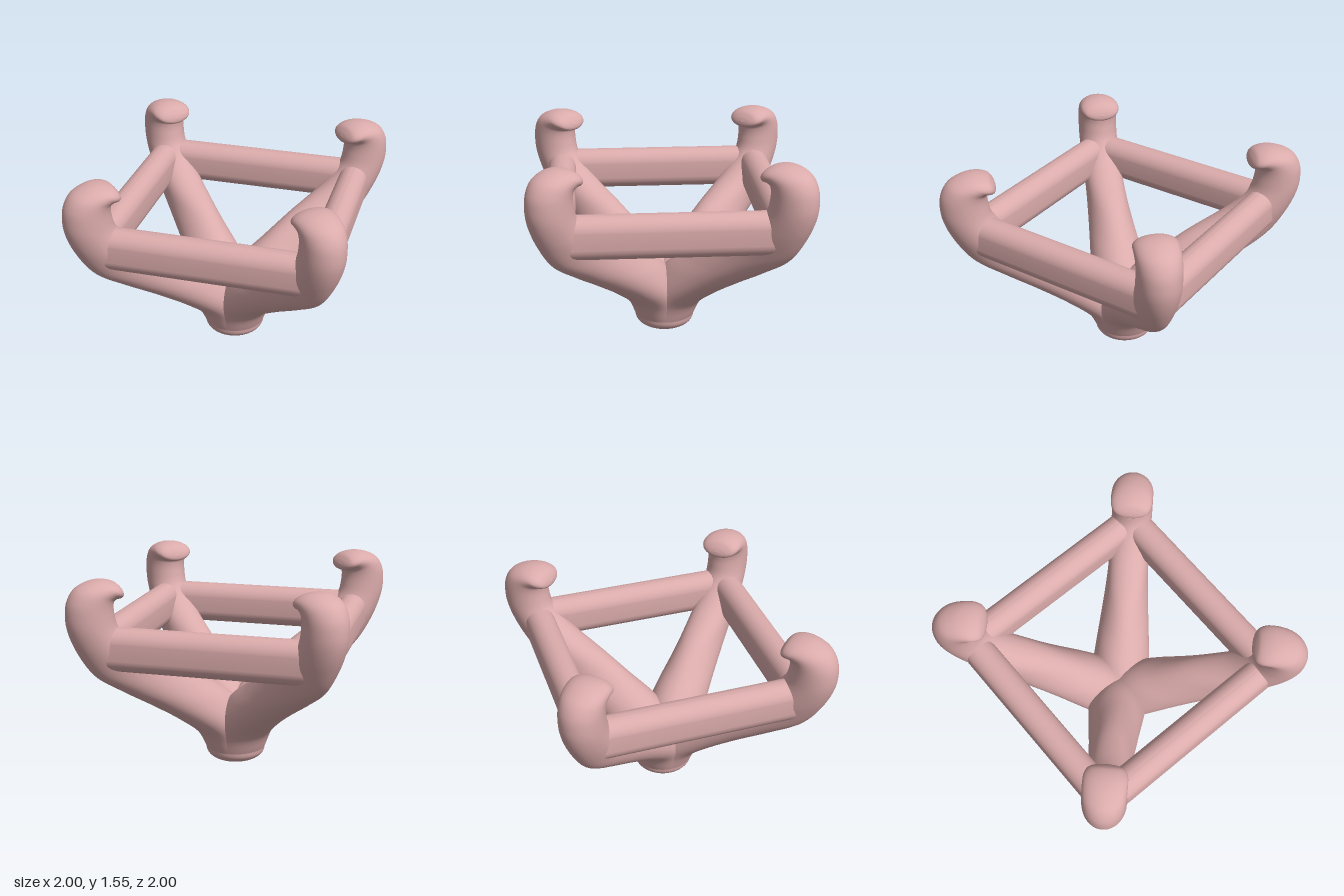
import * as THREE from 'three';
import { toCreasedNormals } from 'three/addons/utils/BufferGeometryUtils.js';

const material = new THREE.MeshStandardMaterial({ color: 0xdbabab });

// Prong cross-sections: inner radius, inner y, outer radius, outer y, half width
const SECTIONS = [
  [-0.23, 0.11, 0.23, 0.11, 0.23],
  [-0.165, 0.25, 0.305, 0.25, 0.235],
  [-0.075, 0.4, 0.485, 0.4, 0.225],
  [0.055, 0.56, 0.725, 0.56, 0.2],
  [0.25, 0.7, 0.95, 0.7, 0.175],
  [0.47, 0.85, 1.16, 0.85, 0.157],
  [0.83, 1.05, 1.29, 1.05, 0.155],
  [0.975, 1.2, 1.345, 1.2, 0.155],
  [1.005, 1.3, 1.355, 1.3, 0.155],
  [1.01, 1.36, 1.34, 1.4, 0.155],
  [1.005, 1.39, 1.285, 1.485, 0.155],
  [0.99, 1.4, 1.18, 1.535, 0.155],
  [0.97, 1.4, 1.08, 1.545, 0.15],
  [0.955, 1.405, 1.0, 1.525, 0.125],
  [0.945, 1.42, 0.965, 1.49, 0.08],
  [0.945, 1.45, 0.945, 1.451, 0.002],
];

// Loft of elliptical sections in the plane x = radius, y = height
function prongGeometry(steps = 120, sides = 48) {
  const inner = new THREE.CatmullRomCurve3(SECTIONS.map(s => new THREE.Vector3(s[0], s[1], s[4])));
  const outer = new THREE.CatmullRomCurve3(SECTIONS.map(s => new THREE.Vector3(s[2], s[3], s[4])));
  const positions = [], index = [];
  for (let i = 0; i <= steps; i++) {
    const a = inner.getPoint(i / steps), b = outer.getPoint(i / steps);
    for (let j = 0; j < sides; j++) {
      const t = j / sides * Math.PI * 2, k = (1 + Math.cos(t)) / 2;
      positions.push(a.x + (b.x - a.x) * k, a.y + (b.y - a.y) * k, (a.z + b.z) / 2 * Math.sin(t));
      if (i < steps) {
        const p = i * sides + j, q = i * sides + (j + 1) % sides;
        index.push(p, p + sides, q, q, p + sides, q + sides);
      }
    }
  }
  const geometry = new THREE.BufferGeometry();
  geometry.setAttribute('position', new THREE.Float32BufferAttribute(positions, 3));
  geometry.setIndex(index);
  geometry.computeVertexNormals();
  return geometry;
}

// Bar with a tall, round-ended section, running along x
function railGeometry(length) {
  const r = 0.11, h = 0.05;
  const shape = new THREE.Shape();
  shape.absarc(0, h, r, 0, Math.PI, false);
  shape.absarc(0, -h, r, Math.PI, Math.PI * 2, false);
  shape.closePath();
  const geometry = new THREE.ExtrudeGeometry(shape, { depth: length, bevelEnabled: false, curveSegments: 20 });
  geometry.translate(0, 0, -length / 2);
  geometry.rotateY(Math.PI / 2);
  return toCreasedNormals(geometry, 0.6);
}

export function createModel() {
  const model = new THREE.Group();
  model.name = 'prongSetting';
  const add = (name, geometry) => {
    const mesh = new THREE.Mesh(geometry, material);
    mesh.name = name;
    model.add(mesh);
    return mesh;
  };

  // Rounded foot shared by the prongs
  const profile = [[0, 0], [0.1, 0.006], [0.16, 0.022], [0.2, 0.046], [0.222, 0.075], [0.23, 0.11]];
  const curve = new THREE.SplineCurve(profile.map(p => new THREE.Vector2(...p)));
  add('foot', new THREE.LatheGeometry(curve.getPoints(24), 48));

  // Four hooked prongs on the diagonals, four rails between them
  const prong = prongGeometry(), rail = railGeometry(1.42);
  for (let i = 0; i < 4; i++) {
    const turn = i * Math.PI / 2;
    add('prong', prong).rotation.y = turn + Math.PI / 4;
    const bar = add('rail', rail);
    bar.rotation.y = turn;
    bar.position.set(Math.sin(turn) * 0.78, 1.05, Math.cos(turn) * 0.78);
  }
  return model;
}
